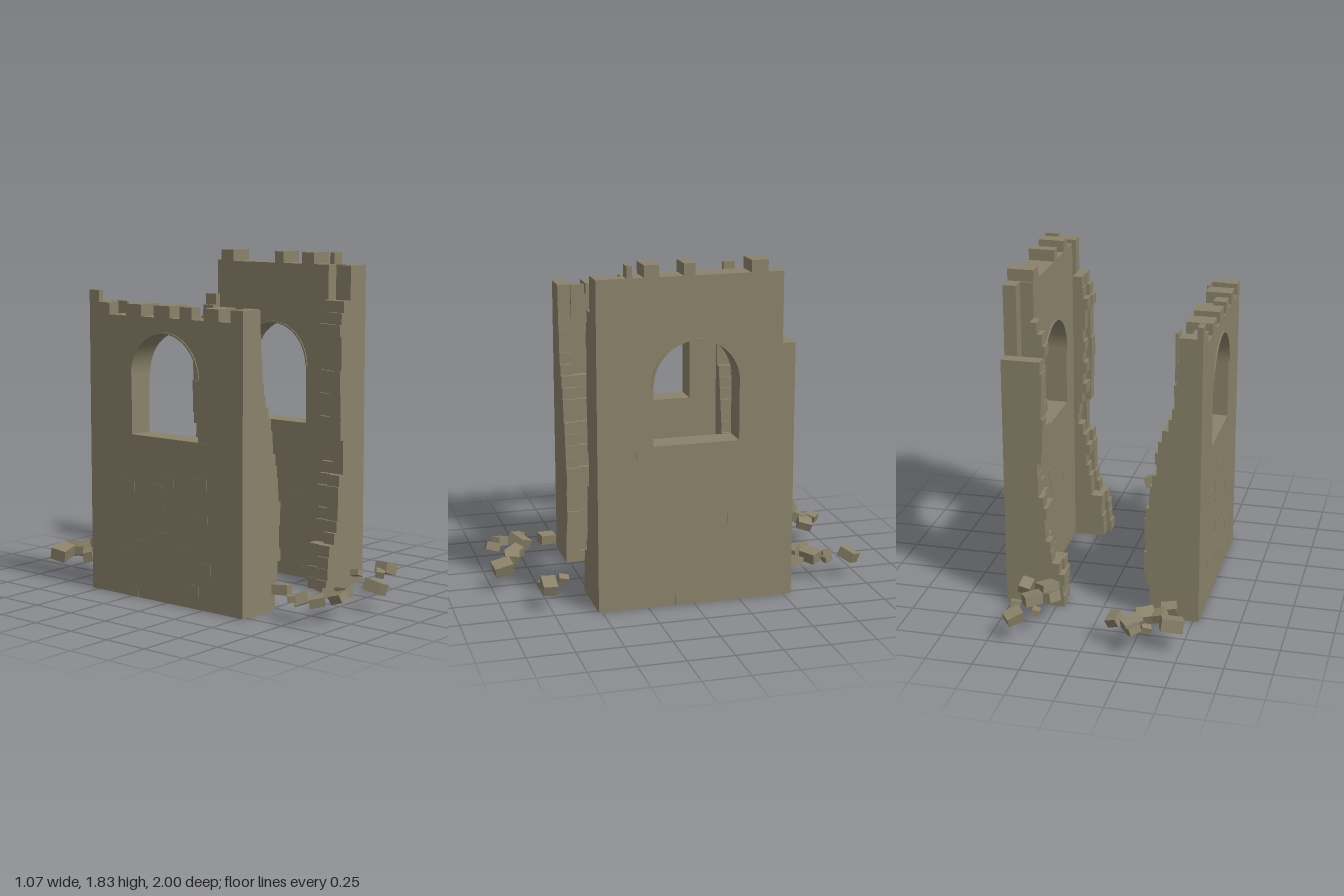
import * as THREE from 'three';
import { mergeGeometries } from 'three/addons/utils/BufferGeometryUtils.js';

const H = 0.0632; // height of one stone course
const stone = new THREE.MeshStandardMaterial({ color: 0x8a826a });
stone.name = 'weathered stone';

let seed = 7;
const rand = () => (seed = (seed * 16807) % 2147483647) / 2147483647;

function box(x0, x1, y0, y1, z0, z1) {
  const g = new THREE.BoxGeometry(Math.abs(x1 - x0), y1 - y0, z1 - z0);
  return g.translate((x0 + x1) / 2, (y0 + y1) / 2, (z0 + z1) / 2);
}

function add(parent, name, parts) {
  const mesh = new THREE.Mesh(mergeGeometries(parts), stone);
  mesh.name = name;
  parent.add(mesh);
}

// Turns a (z, y) shape into a slab between two x positions
function slab(shape, xa, xb) {
  const g = new THREE.ExtrudeGeometry(shape, { depth: Math.abs(xb - xa), bevelEnabled: false, curveSegments: 24 });
  return g.rotateY(-Math.PI / 2).translate(Math.max(xa, xb), 0, 0);
}

const WIN = { z: -0.01, r: 0.232, sill: 0.885, spring: 1.203 };

function wallShape(points) {
  const shape = new THREE.Shape(points.map(p => new THREE.Vector2(...p)));
  const hole = new THREE.Path();
  hole.moveTo(WIN.z - WIN.r, WIN.sill);
  hole.lineTo(WIN.z + WIN.r, WIN.sill);
  hole.lineTo(WIN.z + WIN.r, WIN.spring);
  hole.absarc(WIN.z, WIN.spring, WIN.r, 0, Math.PI, false);
  hole.closePath();
  shape.holes.push(hole);
  return shape;
}

// Thin proud arch trim
function archTrim() {
  const s = new THREE.Shape();
  s.absarc(WIN.z, WIN.spring, WIN.r + 0.009, 0, Math.PI, false);
  s.absarc(WIN.z, WIN.spring, WIN.r - 0.001, Math.PI, 0, true);
  return s;
}

// Broken edge of each return wall, as |x| per course from the ground up
const EDGES = {
  1: [0.19, 0.2, 0.205, 0.215, 0.26, 0.28, 0.29, 0.29, 0.29, 0.3, 0.335, 0.335, 0.335, 0.31, 0.31, 0.305,
    0.305, 0.3, 0.3, 0.31, 0.31, 0.31, 0.295, 0.31, 0.33],
  '-1': [0.26, 0.26, 0.25, 0.24, 0.215, 0.23, 0.23, 0.22, 0.22, 0.235, 0.24, 0.25, 0.26, 0.285, 0.287, 0.3,
    0.32, 0.345, 0.36, 0.37, 0.37, 0.38, 0.385, 0.39, 0.39]
};

function returnWall(parent, s, front) {
  const outer = [], inner = [];
  const [oz0, oz1, iz0, iz1] = front ? [0.448, 0.52, 0.372, 0.448] : [-0.545, -0.475, -0.475, -0.4];
  EDGES[s].forEach((e, i) => {
    const y0 = i * H, y1 = y0 + H;
    const w = e + (front ? 0 : rand() * 0.02);
    const missing = s > 0 && !front && i >= 22;
    if (!missing) outer.push(box(s * w, s * 0.46, y0, y1, oz0, oz1));
    const v = Math.min(e + 0.004 + rand() * 0.03, 0.375);
    inner.push(box(s * v, s * 0.39, y0, y1, iz0, iz1));
  });
  const name = front ? 'front' : 'back';
  add(parent, name + 'ReturnOuterSkin', outer);
  add(parent, name + 'ReturnInnerSkin', inner);
}

function sideWall(s) {
  const g = new THREE.Group();
  g.name = s > 0 ? 'leftTallWall' : 'rightLowWall';
  const top = H * (s > 0 ? 28 : 24);
  const corner = H * (s > 0 ? 22 : 25);
  // Two skins, leaving a hollow in each corner
  const outline = [[-0.545, 0], [0.52, 0], [0.52, top], [-0.475, top], [-0.475, corner], [-0.545, corner]];
  add(g, 'outerSkin', [slab(wallShape(outline), s * 0.46, s * 0.53)]);
  add(g, 'innerSkin', [slab(wallShape([[-0.4, 0], [0.372, 0], [0.372, top], [-0.4, top]]), s * 0.39, s * 0.46)]);
  add(g, 'archTrim', [
    slab(archTrim(), s * 0.53, s * 0.536),
    slab(archTrim(), s * 0.384, s * 0.39)
  ]);

  // Surviving stones of the top course: z from, z to, inner |x|
  const merlons = s > 0
    ? [[0.33, 0.36, 0.46], [0.19, 0.27, 0.39], [0, 0.06, 0.39], [-0.39, -0.3, 0.39]]
    : [[0.44, 0.52, 0.46], [0.26, 0.36, 0.39], [0.1, 0.18, 0.46], [-0.08, 0.03, 0.39], [-0.28, -0.17, 0.39], [-0.475, -0.4, 0.46]];
  add(g, 'topStones', merlons.map(([a, b, x]) => box(s * x, s * 0.53, top, top + H, a, b)));
  if (s < 0) add(g, 'cornerPost', [box(-0.53, -0.5, corner, corner + H, -0.545, -0.475)]);
  else add(g, 'brokenEndStones', [box(0.39, 0.46, H * 25, H * 28, 0.448, 0.52)]);

  // A few stones standing slightly proud of both faces
  const proud = [];
  for (let i = 0; i < 36; i++) {
    const row = Math.floor(rand() * 23), z = -0.36 + rand() * 0.62, w = 0.07 + rand() * 0.04;
    const y = row * H;
    if (y + H > WIN.sill && z + w > -0.27 && z < 0.25) continue;
    const x = i % 2 ? 0.53 : 0.388;
    proud.push(box(s * x, s * (x + 0.002), y, y + H, z, z + w));
  }
  add(g, 'proudStones', proud);
  returnWall(g, s, true);
  returnWall(g, s, false);
  return g;
}

// Fallen stones: x, z, size, turn
const RUBBLE = [
  [-0.45, -0.86, 0.105, 0.3], [-0.27, -0.96, 0.06, 0.7], [-0.25, -0.89, 0.09, 0.8], [-0.15, -0.87, 0.075, 1.3],
  [-0.32, -0.89, 0.05, 0.4], [-0.37, -0.78, 0.07, 1.4], [-0.29, -0.76, 0.09, 0.5], [-0.4, -0.68, 0.075, 0.2],
  [0.37, -0.94, 0.085, 0.7], [0.28, -0.84, 0.05, 1.7], [0.4, -0.8, 0.05, 0.2], [0.33, -0.73, 0.09, 0.6],
  [0.24, -0.7, 0.08, 1.2], [0.28, -0.62, 0.095, 0.9], [0.4, -0.61, 0.075, 1.55],
  [-0.33, 0.62, 0.08, 1.8], [-0.43, 0.76, 0.05, 0.6], [-0.37, 0.77, 0.095, 0.7], [-0.38, 0.88, 0.075, 2.3],
  [-0.28, 0.94, 0.07, 1.6], [-0.2, 0.83, 0.08, 2.2], [-0.12, 0.86, 0.075, 1.4], [0.05, 0.94, 0.095, 1.7],
  [0.28, 0.655, 0.05, 1.5], [0.41, 0.76, 0.09, 0], [0.34, 0.77, 0.055, 0.6]
];

function rubble() {
  const g = new THREE.Group();
  g.name = 'rubble';
  RUBBLE.forEach(([x, z, d, turn]) => {
    const m = new THREE.Mesh(new THREE.BoxGeometry(d * 1.1, d * 0.65, d * 0.85), stone);
    m.name = 'fallenStone';
    m.position.set(x, 0.115 + rand() * 0.03, z);
    m.rotation.set((rand() - 0.5) * 0.7, turn, (rand() - 0.5) * 0.7, 'YXZ');
    g.add(m);
  });
  return g;
}

export function createModel() {
  seed = 7;
  const model = new THREE.Group();
  model.name = 'ruinedStoneWalls';
  model.add(sideWall(1), sideWall(-1), rubble());
  return model;
}
